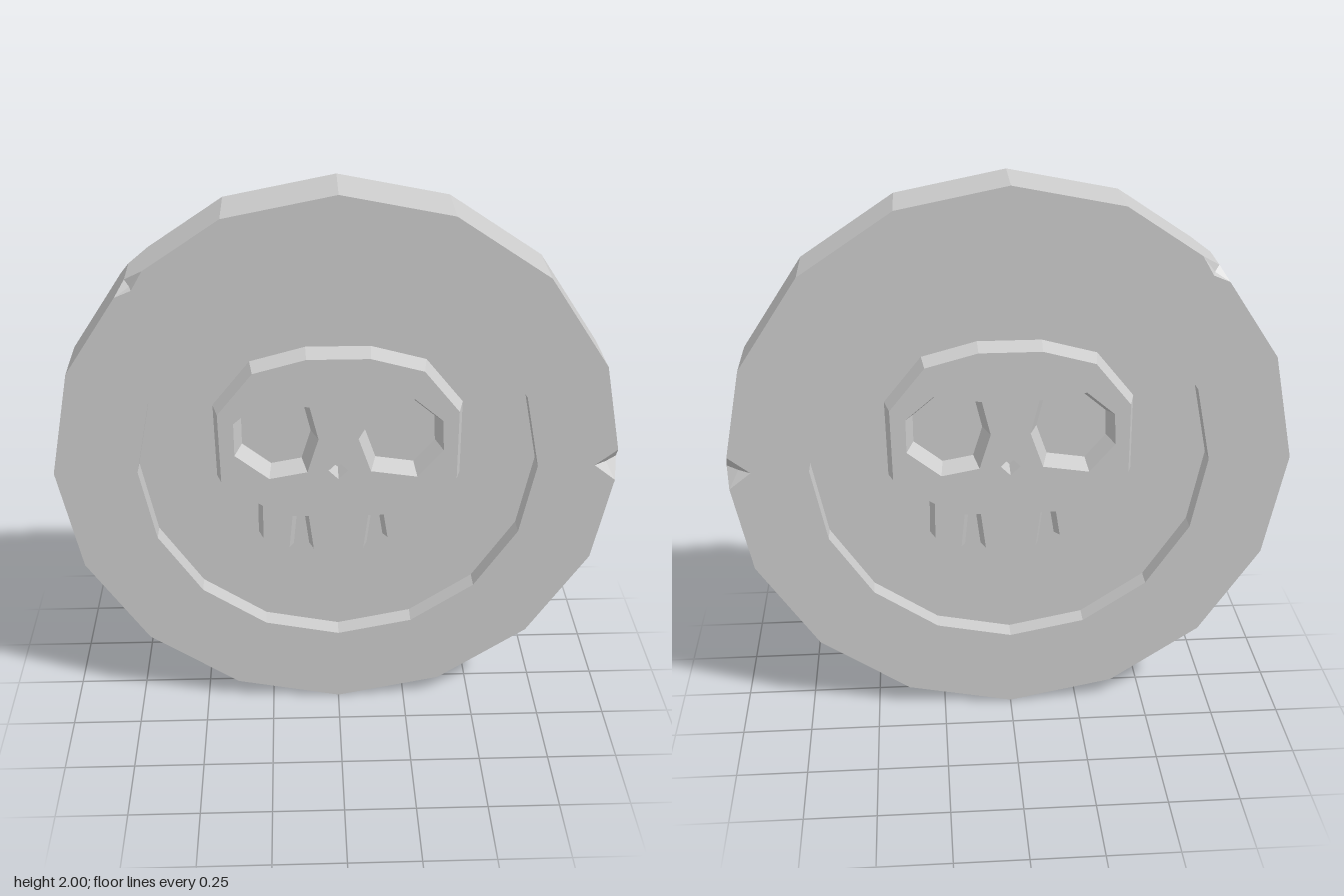
import * as THREE from 'three';

const SIDES = 16, HALF = 0.115, FLOOR = 0.045, RECESS = 0.707;
const material = new THREE.MeshStandardMaterial({ color: 0xcccccc, flatShading: true });

const at = (p, z) => [p.x, p.y, z];
const points = list => list.map(([x, y]) => new THREE.Vector2(x, y));
const polar = (r, k) => {
  const a = k / SIDES * Math.PI * 2;
  return new THREE.Vector2(r * Math.cos(a), r * Math.sin(a));
};

// Fan of triangles over a convex polygon
function fan(tris, poly) {
  for (let i = 1; i < poly.length - 1; i++) tris.push([poly[0], poly[i], poly[i + 1]]);
}

// Flat sheet facing +z, with holes
function sheet(tris, contour, holes, z) {
  const all = [contour, ...holes].flat();
  for (const f of THREE.ShapeUtils.triangulateShape(contour, holes)) {
    const [a, b, c] = f.map(i => all[i]);
    const ccw = b.clone().sub(a).cross(c.clone().sub(a)) > 0;
    tris.push((ccw ? [a, b, c] : [a, c, b]).map(p => at(p, z)));
  }
}

// Move a loop to its right by d, with mitred corners
function offset(loop, d) {
  const n = loop.length;
  return loop.map((p, i) => {
    const u = p.clone().sub(loop[(i + n - 1) % n]).normalize();
    const v = loop[(i + 1) % n].clone().sub(p).normalize();
    const a = new THREE.Vector2(u.y, -u.x), b = new THREE.Vector2(v.y, -v.x);
    return a.clone().add(b).multiplyScalar(d / (1 + a.dot(b))).add(p);
  });
}

// Wall from the recess floor up to a loop at the face, spread by d at its foot
function wall(tris, loop, d) {
  const foot = offset(loop, d);
  loop.forEach((p, i) => {
    const j = (i + 1) % loop.length;
    fan(tris, [at(foot[i], FLOOR), at(foot[j], FLOOR), at(loop[j], HALF), at(p, HALF)]);
  });
}

function makeMesh(name, tris) {
  const g = new THREE.BufferGeometry();
  g.setAttribute('position', new THREE.Float32BufferAttribute(tris.flat(2), 3));
  g.computeVertexNormals();
  const mesh = new THREE.Mesh(g, material);
  mesh.name = name;
  return mesh;
}

// Same triangles on the other side of z = 0
const mirrored = tris => tris.map(t => t.map(([x, y, z]) => [x, y, -z]).reverse());

// Chips in the rim: corner index -> size along the sides, face depth, pit radius, z reach
const chips = {
  0: { before: 0.16, after: 0.16, face: 0.91, pit: 0.955, z: 0.045, pitZ: 0.085 },
  6: { before: 0.2, after: 0.15, face: 0.965, pit: 0.975, z: 0.075, pitZ: 0.095 },
};

function makeDisc() {
  const half = [], outline = [], corners = [];
  for (let k = 0; k < SIDES; k++) {
    const p = polar(1, k), chip = chips[k];
    if (!chip) {
      corners.push({ p, start: [at(p, HALF)], end: [at(p, HALF)] });
      outline.push(p);
      continue;
    }
    const a = p.clone().lerp(polar(1, k - 1), chip.before);
    const b = p.clone().lerp(polar(1, k + 1), chip.after);
    const d = polar(chip.face, k);
    const c = at(p, chip.z), e = at(polar(chip.pit, k), chip.pitZ);
    corners.push({ p, start: [at(b, HALF), c], end: [c, at(a, HALF)] });
    outline.push(a, d, b);
    // four faces of the chipped pit
    const ring = [at(a, HALF), c, at(b, HALF), at(d, HALF)];
    ring.forEach((q, i) => half.push([q, ring[(i + 1) % 4], e]));
  }
  // outer edge
  corners.forEach((s, k) => {
    const t = corners[(k + 1) % SIDES];
    fan(half, [at(s.p, 0), at(t.p, 0), ...t.end, ...s.start]);
  });
  // rim face, recess wall and recess floor
  const inner = Array.from({ length: SIDES }, (_, k) => polar(RECESS, k));
  const hole = [...inner].reverse();
  sheet(half, outline, [hole], HALF);
  wall(half, hole, 0);
  sheet(half, inner, [], FLOOR);
  return makeMesh('disc', [...half, ...mirrored(half)]);
}

// Raised skull, y measured from the disc centre; outline runs counter-clockwise
const skull = points([
  [0.11, 0.425], [-0.11, 0.425], [-0.295, 0.375], [-0.42, 0.22], [-0.415, -0.045],
  [-0.27, -0.145], [-0.272, -0.28], [-0.178, -0.32], [-0.165, -0.19], [-0.107, -0.19],
  [-0.09, -0.328], [0.09, -0.328], [0.107, -0.19], [0.163, -0.19], [0.178, -0.285],
  [0.23, -0.262], [0.27, -0.138], [0.42, -0.045], [0.42, 0.22], [0.295, 0.375],
]);
// Openings run clockwise
const openings = [
  points([[-0.265, 0.27], [-0.1, 0.245], [-0.07, 0.12], [-0.11, -0.01], [-0.245, -0.035],
    [-0.365, 0.06], [-0.365, 0.185]]),
  points([[0.1, 0.245], [0.265, 0.27], [0.365, 0.185], [0.37, 0.07], [0.28, -0.035],
    [0.115, -0.01], [0.07, 0.12]]),
  points([[0, 0.03], [0.035, -0.005], [0, -0.04], [-0.035, -0.005]]),
];

function makeSkull(name) {
  const tris = [];
  sheet(tris, skull, openings, HALF);
  wall(tris, skull, 0.018);
  openings.forEach((o, i) => wall(tris, o, i < 2 ? 0.025 : 0.008));
  return makeMesh(name, tris);
}

export function createModel() {
  const group = new THREE.Group();
  group.name = 'coin';
  const front = makeSkull('frontSkull');
  const back = makeSkull('backSkull');
  back.rotation.y = Math.PI;
  group.add(makeDisc(), front, back);
  for (const part of group.children) part.position.y = 1;
  return group;
}
